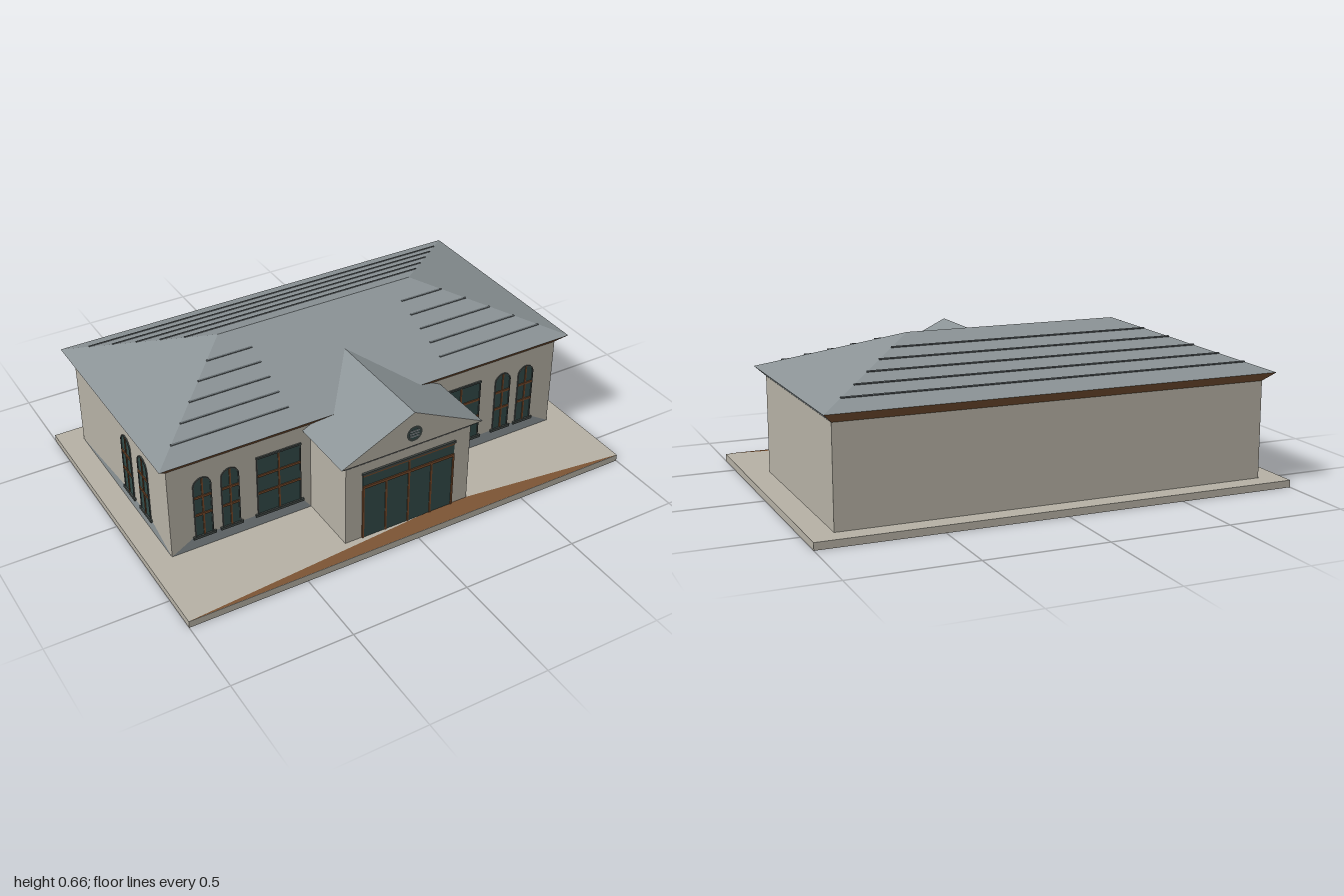
import * as THREE from 'three';

const material = (name, color) => {
  const m = new THREE.MeshStandardMaterial({ color, side: THREE.DoubleSide, flatShading: true });
  m.name = name;
  return m;
};

export function createModel() {
  const stone = material('stone', 0xb6b1a5);
  const slate = material('slate', 0x8b9396);
  const seamGrey = material('seam grey', 0x666d70);
  const brown = material('brown', 0x7c5434);
  const timber = material('window timber', 0x75492a);
  const glass = material('dark glass', 0x324a48);
  const iron = material('dark iron', 0x414846);

  const model = new THREE.Group();
  model.name = 'building';

  const add = (parent, name, geometry, mat) => {
    const mesh = new THREE.Mesh(geometry, mat);
    mesh.name = name;
    parent.add(mesh);
    return mesh;
  };
  const box = (parent, name, mat, w, h, d, x, y, z) => {
    const mesh = add(parent, name, new THREE.BoxGeometry(w, h, d), mat);
    mesh.position.set(x, y, z);
    return mesh;
  };
  // Flat polygons, each a counter-clockwise list of corners
  const faces = (parent, name, mat, ...polygons) => {
    const pos = [];
    for (const p of polygons)
      for (let i = 1; i < p.length - 1; i++) pos.push(...p[0], ...p[i], ...p[i + 1]);
    const g = new THREE.BufferGeometry();
    g.setAttribute('position', new THREE.Float32BufferAttribute(pos, 3));
    g.computeVertexNormals();
    return add(parent, name, g, mat);
  };

  // Base slab and front path
  box(model, 'base', stone, 2, 0.03, 1.334, 0, 0.015, 0);
  const py = 0.0315;
  faces(model, 'path', brown, [[-1, py, 0.667], [1, py, 0.667], [0.29, py, 0.58], [0.13, py, 0.58]]);

  // Walls
  box(model, 'mainWalls', stone, 1.8, 0.405, 0.895, 0, 0.2325, -0.1375);
  box(model, 'porchWalls', stone, 0.57, 0.36, 0.3, 0, 0.21, 0.43);

  // Main hip roof and sloping eaves
  const ring = (x, y, z0, z1) => [[-x, y, z1], [x, y, z1], [x, y, z0], [-x, y, z0]];
  const w = ring(0.9, 0.435, -0.585, 0.31);
  const e = ring(0.94, 0.473, -0.625, 0.347);
  const ridgeL = [-0.45, 0.656, -0.137], ridgeR = [0.45, 0.656, -0.137];
  faces(model, 'mainRoof', slate,
    [e[0], e[1], ridgeR, ridgeL], [e[1], e[2], ridgeR],
    [e[2], e[3], ridgeL, ridgeR], [e[3], e[0], ridgeL]);
  const eave = (i) => [w[i], w[(i + 1) % 4], e[(i + 1) % 4], e[i]];
  faces(model, 'longEaves', brown, eave(0), eave(2));
  faces(model, 'sideEaves', slate, eave(1), eave(3));

  // Slate course lines, broken around the porch at the front
  const seam = (x0, x1, t, zEave, side) => {
    const y = 0.656 - 0.183 * t + 0.002;
    const z = -0.137 + (zEave + 0.137) * t;
    const strip = box(model, 'roofSeam', seamGrey, x1 - x0, 0.004, 0.007, (x0 + x1) / 2, y, z);
    strip.rotation.x = side * 0.36;
  };
  for (let i = 0; i < 5; i++) {
    const t = 0.205 + i * 0.152;
    const hip = 0.45 + 0.49 * t;
    seam(0.35, hip, t, 0.347, 1);
    seam(-hip, -0.35, t, 0.347, 1);
    seam(-hip, hip, t, -0.625, -1);
  }

  // Porch gable roof, running back into the main roof
  const a = 0.32, zf = 0.608, zb = 0.3, ye = 0.416, yr = 0.57;
  faces(model, 'porchRoof', slate,
    [[a, ye, zf], [a, ye, zb], [0, yr, 0.09], [0, yr, zf]],
    [[a, ye, zb], [0.196, 0.475, 0.345], [0, yr, 0.09]],
    [[-a, ye, zb], [-a, ye, zf], [0, yr, zf], [0, yr, 0.09]],
    [[-a, ye, zb], [0, yr, 0.09], [-0.196, 0.475, 0.345]]);
  const p = ring(0.285, 0.388, 0.3, 0.58), q = ring(a, ye, zb, zf);
  faces(model, 'porchEaves', slate,
    [p[0], p[1], q[1], q[0]], [p[1], p[2], q[2], q[1]], [p[3], p[0], q[0], q[3]]);
  faces(model, 'gable', stone, [[-a, ye, zf], [a, ye, zf], [0, yr, zf]]);

  // Round louvre in the gable
  const louvre = new THREE.Group();
  louvre.name = 'louvre';
  louvre.position.set(0, 0.475, zf);
  model.add(louvre);
  add(louvre, 'louvreDisc', new THREE.CircleGeometry(0.03, 24), glass).position.z = 0.002;
  add(louvre, 'louvreRing', new THREE.RingGeometry(0.026, 0.035, 24), iron).position.z = 0.003;
  for (const y of [-0.012, 0, 0.012])
    box(louvre, 'louvreSlat', slate, 0.042, 0.006, 0.004, 0, y, 0.003);

  // One window facing +z; arched ones have a rounded head
  const makeWindow = (width, arched) => {
    const g = new THREE.Group();
    g.name = arched ? 'archedWindow' : 'wideWindow';
    const h = width / 2, y0 = 0.085, y1 = 0.362;
    const outline = (inset) => {
      const r = h - inset, s = new THREE.Shape();
      s.moveTo(-r, y0);
      s.lineTo(r, y0);
      if (arched) s.absarc(0, y1 - h, r, 0, Math.PI);
      else s.lineTo(r, y1 - inset).lineTo(-r, y1 - inset);
      s.closePath();
      return s;
    };
    add(g, 'glass', new THREE.ShapeGeometry(outline(0), 10), glass).position.z = 0.002;
    const frame = outline(0);
    frame.holes.push(outline(0.005));
    add(g, 'frame', new THREE.ExtrudeGeometry(frame, { depth: 0.005, bevelEnabled: false, curveSegments: 10 }), iron);
    box(g, 'mullion', timber, 0.007, y1 - y0 - 0.006, 0.005, 0, (y0 + y1) / 2, 0.003);
    for (const y of [0.19, 0.273])
      box(g, 'glazingBar', timber, width - 0.006, 0.01, 0.006, 0, y, 0.003);
    if (!arched) box(g, 'lintel', iron, width + 0.004, 0.008, 0.007, 0, 0.36, 0.003);
    box(g, 'sill', iron, width + 0.02, 0.012, 0.009, 0, 0.083, 0.004);
    return g;
  };

  // Front windows on both wings, with sloped grey plinth panels
  for (const s of [-1, 1]) {
    for (const [x, width, arched] of [[0.428, 0.195, false], [0.64, 0.078, true], [0.758, 0.078, true]]) {
      const win = makeWindow(width, arched);
      win.position.set(s * x, 0, 0.31);
      model.add(win);
    }
    const z = 0.3115;
    const panel = [[0.285, 0.03, z], [0.9, 0.03, z], [0.81, 0.083, z], [0.325, 0.083, z]]
      .map(([x, y, d]) => [s * x, y, d]);
    faces(model, 'plinthPanel', slate, s > 0 ? panel : panel.reverse());
  }

  // Side windows and plinth on the -x wall
  for (const z of [-0.075, 0.083]) {
    const win = makeWindow(0.09, true);
    win.rotation.y = -Math.PI / 2;
    win.position.set(-0.9, 0, z);
    model.add(win);
  }
  faces(model, 'sidePlinthPanel', slate,
    [[-0.9015, 0.03, -0.585], [-0.9015, 0.03, 0.31], [-0.9015, 0.083, 0.14], [-0.9015, 0.083, -0.13]]);

  // Glazed entrance
  const door = new THREE.Group();
  door.name = 'entrance';
  door.position.z = 0.58;
  model.add(door);
  box(door, 'doorGlass', glass, 0.42, 0.31, 0.004, 0, 0.185, 0.001);
  box(door, 'doorHeader', iron, 0.428, 0.01, 0.009, 0, 0.341, 0.004);
  box(door, 'doorHeaderRail', timber, 0.42, 0.006, 0.007, 0, 0.332, 0.003);
  box(door, 'transom', timber, 0.42, 0.012, 0.008, 0, 0.278, 0.004);
  box(door, 'transomPost', timber, 0.007, 0.05, 0.006, 0, 0.307, 0.003);
  for (const x of [-0.207, -0.104, 0, 0.104, 0.207])
    box(door, 'doorPost', timber, 0.008, 0.245, 0.006, x, 0.1525, 0.003);

  return model;
}
